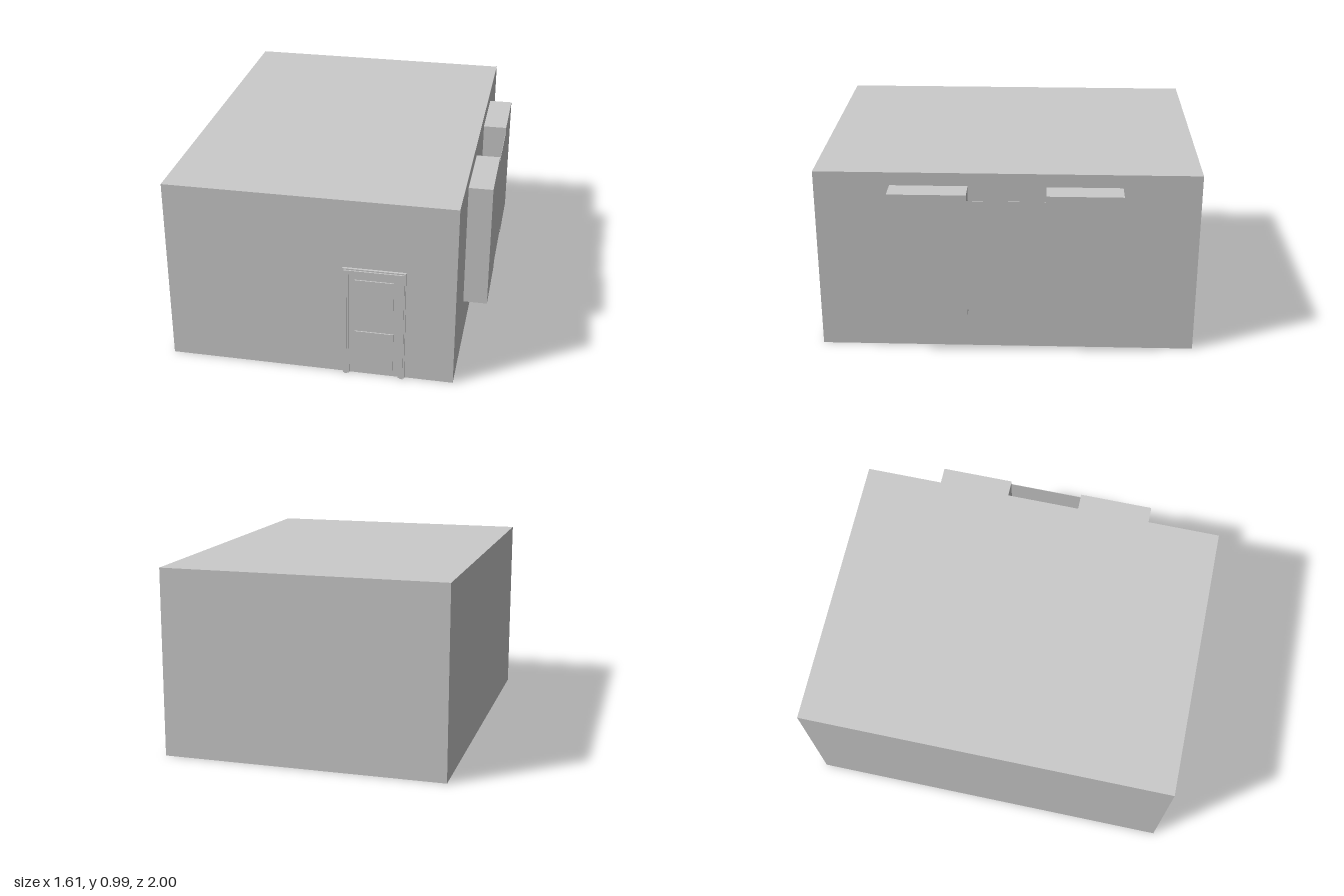
import * as THREE from 'three';

const WALL_X = 0.68, WALL_Z = 0.98, DOOR_X = 0.27;

export function createModel() {
  const model = new THREE.Group();
  const material = new THREE.MeshStandardMaterial({ color: 0xcccccc, flatShading: true });

  // Box given by its lower and upper corners
  const box = (parent, name, [x0, y0, z0], [x1, y1, z1]) => {
    const mesh = new THREE.Mesh(new THREE.BoxGeometry(x1 - x0, y1 - y0, z1 - z0), material);
    mesh.position.set((x0 + x1) / 2, (y0 + y1) / 2, (z0 + z1) / 2);
    mesh.name = name;
    parent.add(mesh);
  };

  // Main block of the building
  box(model, 'building', [-0.805, 0, -1], [WALL_X, 0.99, WALL_Z]);

  // Wall bay: two deep boxes joined by a thin front panel
  const bay = new THREE.Group();
  bay.name = 'wallBay';
  box(bay, 'frontBox', [WALL_X, 0.25, 0.19], [0.805, 0.92, 0.59]);
  box(bay, 'backBox', [WALL_X, 0.25, -0.6], [0.805, 0.92, -0.21]);
  box(bay, 'joiningPanel', [0.803, 0.28, -0.21], [0.805, 0.89, 0.19]);
  model.add(bay);

  // Door frame: an upside-down U, open at the ground
  const door = new THREE.Group();
  door.name = 'door';
  door.position.x = DOOR_X;
  const frame = (name, outer, inner, top, innerTop, depth) => {
    const shape = new THREE.Shape([
      [-outer, 0], [-outer, top], [outer, top], [outer, 0],
      [inner, 0], [inner, innerTop], [-inner, innerTop], [-inner, 0],
    ].map(([x, y]) => new THREE.Vector2(x, y)));
    const geometry = new THREE.ExtrudeGeometry(shape, { depth, bevelEnabled: false });
    const mesh = new THREE.Mesh(geometry, material);
    mesh.position.z = WALL_Z;
    mesh.name = name;
    door.add(mesh);
  };
  frame('frameBase', 0.16, 0.128, 0.62, 0.588, 0.013);
  frame('frameRidge', 0.153, 0.137, 0.613, 0.597, 0.02);

  // Door leaf with two raised panels
  box(door, 'doorLeaf', [-0.128, 0, WALL_Z], [0.128, 0.588, 0.982]);
  for (const [name, y0, y1] of [['lowerPanel', 0.035, 0.255], ['upperPanel', 0.305, 0.555]]) {
    box(door, name, [-0.1, y0, WALL_Z], [0.1, y1, 0.988]);
  }
  model.add(door);

  return model;
}
